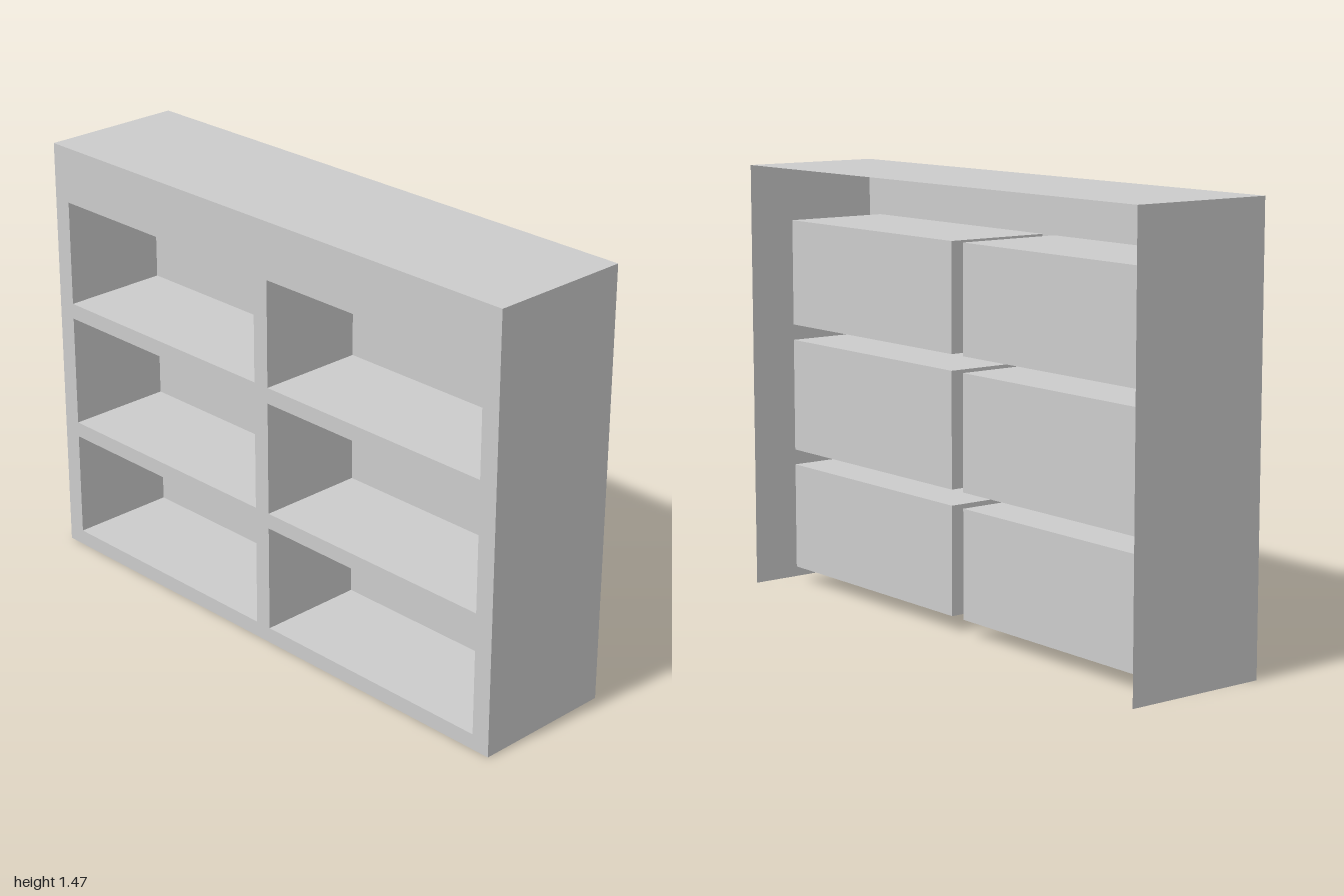
import * as THREE from 'three';

const material = new THREE.MeshStandardMaterial({ color: 0xcccccc, side: THREE.DoubleSide });

const W = 2, H = 1.47, D = 0.5;
const RECESS = 0.375;
const COLUMNS = [[-0.935, -0.03], [0.03, 0.935]];
const ROWS = [[0.053, 0.42], [0.473, 0.861], [0.915, 1.278]];

// Box keeping only the listed sides (0 +x, 1 -x, 2 +y, 3 -y, 4 +z, 5 -z)
function openBox(w, h, d, sides) {
  const g = new THREE.BoxGeometry(w, h, d);
  const index = Array.from(g.index.array);
  g.setIndex(sides.flatMap((s) => index.slice(s * 6, s * 6 + 6)));
  g.clearGroups();
  return g;
}

function add(group, name, geometry, x, y, z) {
  const mesh = new THREE.Mesh(geometry, material);
  mesh.name = name;
  mesh.position.set(x, y, z);
  group.add(mesh);
}

function rectangle(path, x0, y0, x1, y1) {
  path.moveTo(x0, y0);
  path.lineTo(x1, y0);
  path.lineTo(x1, y1);
  path.lineTo(x0, y1);
  path.closePath();
  return path;
}

export function createModel() {
  const model = new THREE.Group();
  model.name = 'shelfUnit';

  // Thin outer casing: top and two sides, open below and behind
  add(model, 'casing', openBox(W, H, D, [0, 1, 2]), 0, H / 2, 0);

  // Front panel with one opening per compartment
  const front = rectangle(new THREE.Shape(), -W / 2, 0, W / 2, H);

  // Thin-walled compartments set back from the openings
  const compartments = new THREE.Group();
  compartments.name = 'compartments';
  for (const [y0, y1] of ROWS) {
    for (const [x0, x1] of COLUMNS) {
      front.holes.push(rectangle(new THREE.Path(), x0, y0, x1, y1));
      add(compartments, 'compartment', openBox(x1 - x0, y1 - y0, RECESS, [0, 1, 2, 3, 5]),
        (x0 + x1) / 2, (y0 + y1) / 2, D / 2 - RECESS / 2);
    }
  }
  add(model, 'frontFrame', new THREE.ShapeGeometry(front), 0, 0, D / 2);
  model.add(compartments);
  return model;
}
